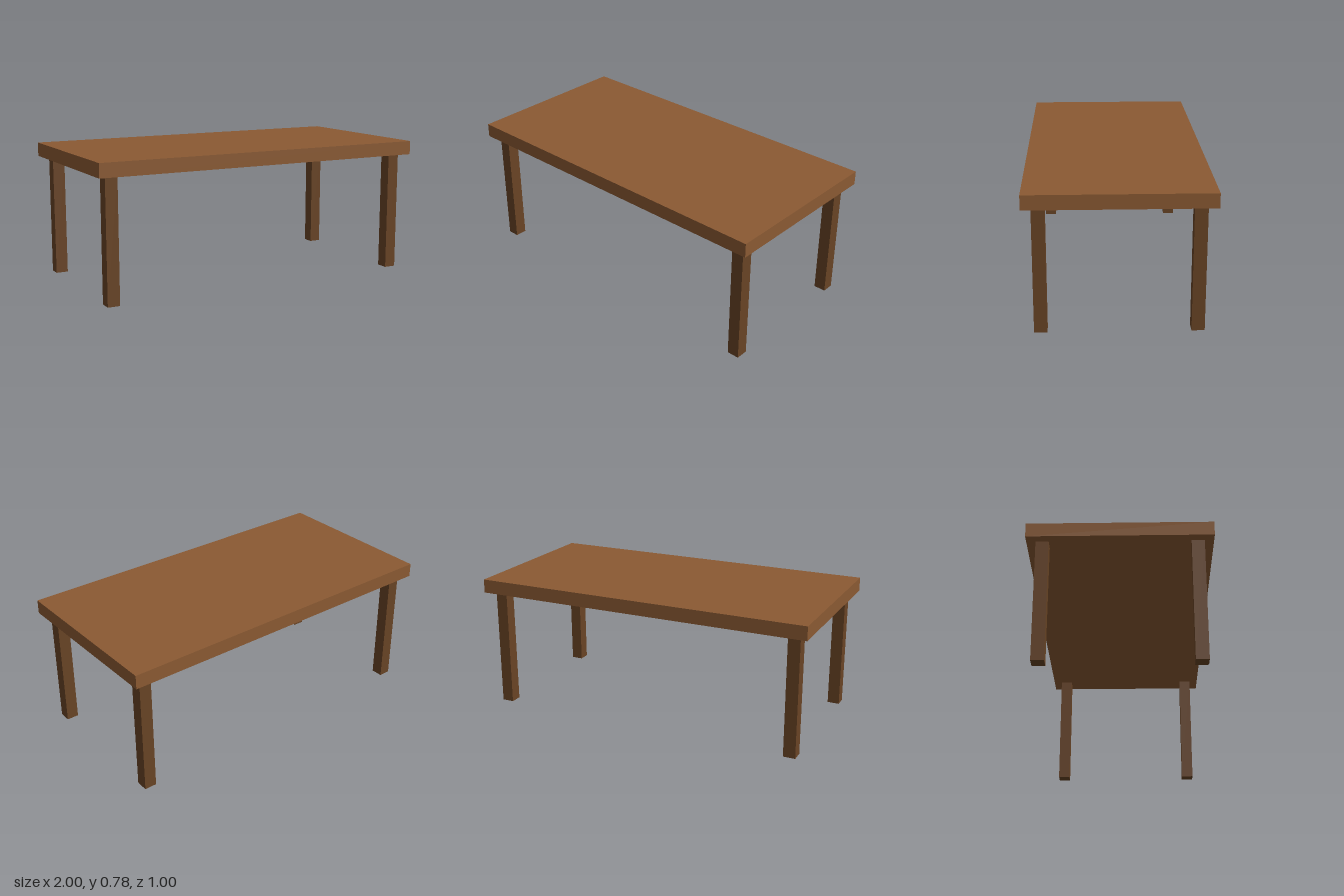
import * as THREE from 'three';

const TOP = { width: 2, thickness: 0.08, depth: 1 };
const LEG = { side: 0.07, height: 0.7, x: 0.915, z: 0.415 };

export function createModel() {
  const table = new THREE.Group();
  table.name = 'table';

  const topWood = new THREE.MeshStandardMaterial({ color: 0x8b5a33 });
  const legWood = new THREE.MeshStandardMaterial({ color: 0x694425 });

  // Flat slab resting on the legs
  const tableTop = new THREE.Mesh(
    new THREE.BoxGeometry(TOP.width, TOP.thickness, TOP.depth), topWood);
  tableTop.name = 'tableTop';
  tableTop.position.y = LEG.height + TOP.thickness / 2;
  table.add(tableTop);

  // Four square legs, set in from the corners
  const legGeometry = new THREE.BoxGeometry(LEG.side, LEG.height, LEG.side);
  for (const [end, sz] of [['front', 1], ['back', -1]]) {
    for (const [hand, sx] of [['Left', 1], ['Right', -1]]) {
      const leg = new THREE.Mesh(legGeometry, legWood);
      leg.name = `${end}${hand}Leg`;
      leg.position.set(sx * LEG.x, LEG.height / 2, sz * LEG.z);
      table.add(leg);
    }
  }
  return table;
}
